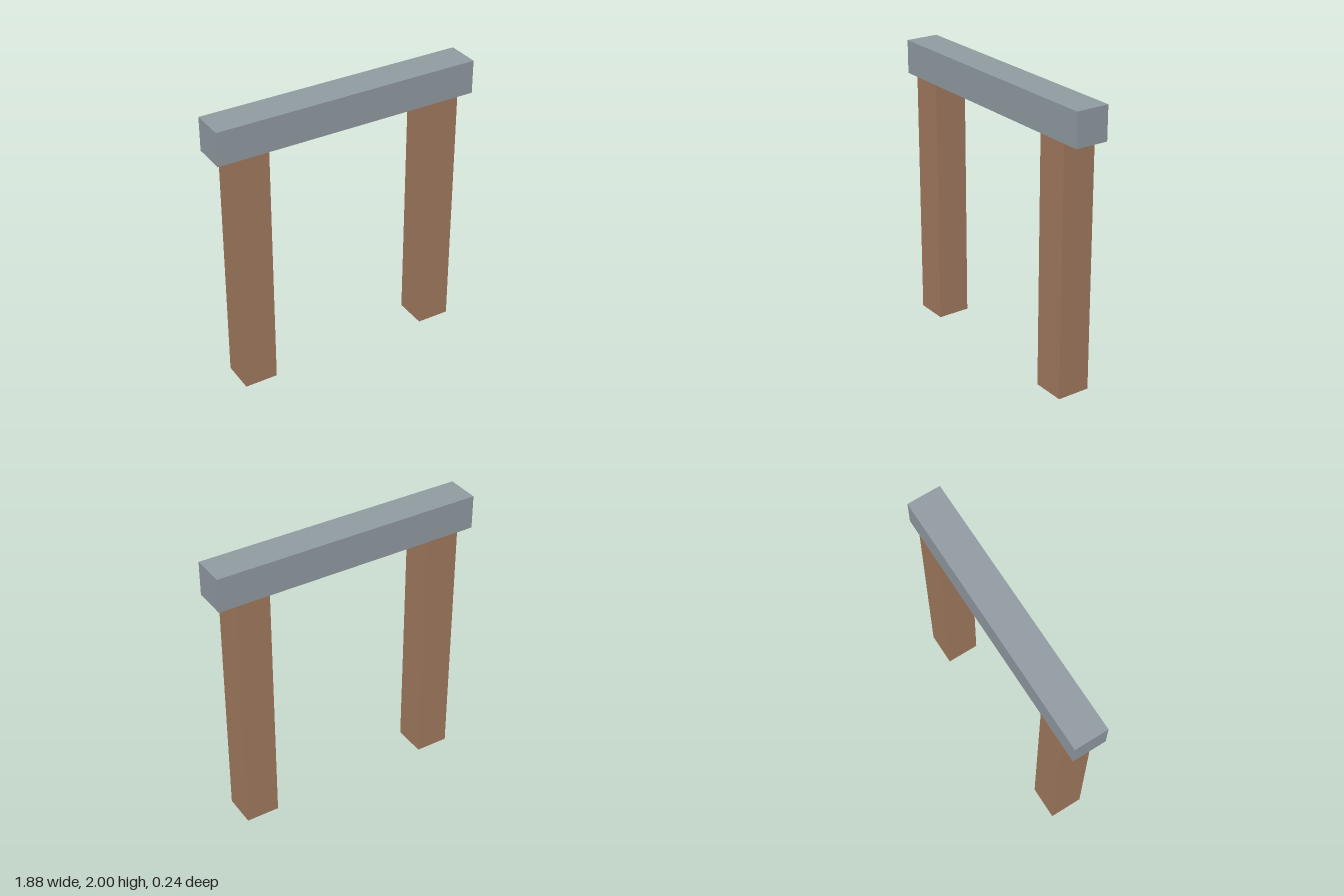
import * as THREE from 'three';

const UNIT = 2 / 17; // the gate is 17 modules tall

export function createModel() {
  const model = new THREE.Group();
  model.name = 'gateway';

  const wood = new THREE.MeshStandardMaterial({ color: 0xa37b60 });
  const stone = new THREE.MeshStandardMaterial({ color: 0x929da3 });

  // Box measured in modules, standing on the given base height
  function addBlock(name, material, width, height, depth, x, base) {
    const geometry = new THREE.BoxGeometry(width * UNIT, height * UNIT, depth * UNIT);
    const mesh = new THREE.Mesh(geometry, material);
    mesh.name = name;
    mesh.position.set(x * UNIT, (base + height / 2) * UNIT, 0);
    model.add(mesh);
  }

  // Pair of square posts
  for (const side of [-1, 1]) {
    addBlock(side > 0 ? 'leftPost' : 'rightPost', wood, 2, 15, 2, side * 6, 0);
  }

  // Crossbeam resting on the posts
  addBlock('lintel', stone, 16, 2, 2, 0, 15);

  return model;
}
